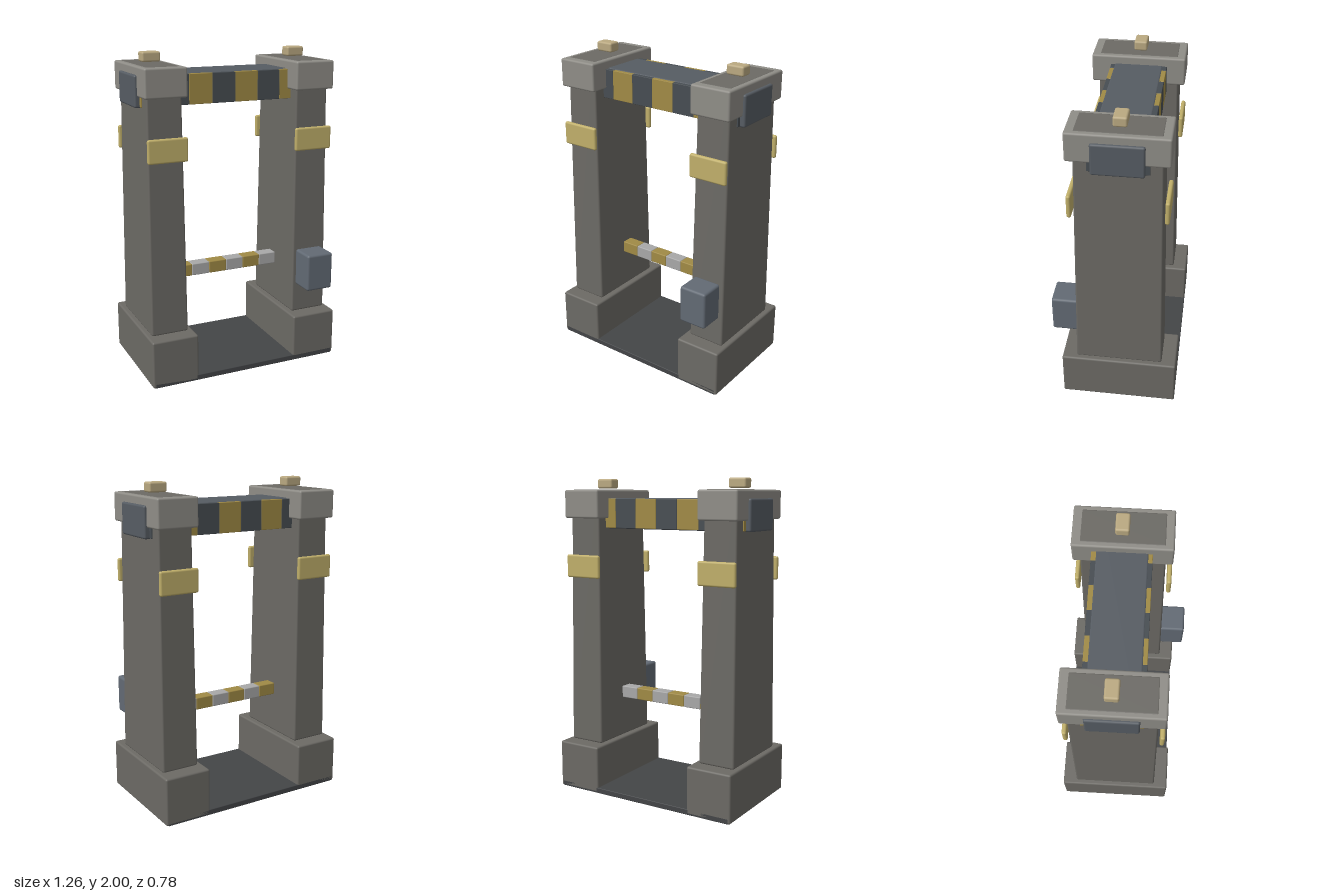
import * as THREE from 'three';
import { RoundedBoxGeometry } from 'three/addons/geometries/RoundedBoxGeometry.js';

const mat = (color) => new THREE.MeshStandardMaterial({ color });
const M = {
  stone: mat(0x6c6a65), cap: mat(0x8f8d87), floor: mat(0x434547), steel: mat(0x565c63),
  dark: mat(0x474d52), stripe: mat(0xa08a45), plate: mat(0xc0af6a), knob: mat(0xbaa981),
  box: mat(0x626a74), pale: mat(0xa8a8a8),
};

const CZ = -0.03; // depth centre of the frame

export function createModel() {
  const model = new THREE.Group();

  // Bevelled box given by its x, y and z ranges
  const block = (name, material, [x0, x1], [y0, y1], [z0, z1], r = 0.012) => {
    const mesh = new THREE.Mesh(new RoundedBoxGeometry(x1 - x0, y1 - y0, z1 - z0, 2, r), material);
    mesh.position.set((x0 + x1) / 2, (y0 + y1) / 2, (z0 + z1) / 2);
    mesh.name = name;
    model.add(mesh);
    return mesh;
  };

  // Floor slab joining the two footings
  block('floorSlab', M.floor, [-0.62, 0.62], [0, 0.035], [-0.39, 0.33], 0.004);

  for (const s of [-1, 1]) {
    const side = s > 0 ? 'left' : 'right';
    const span = (a, b) => (s > 0 ? [a, b] : [-b, -a]);

    block(side + 'Footing', M.stone, span(0.333, 0.632), [0, 0.303], [-0.39, 0.33]);

    // Column narrowing towards the top
    const column = block(side + 'Column', M.stone, span(0.366, 0.604), [0.303, 1.932], [CZ - 0.27, CZ + 0.27]);
    const p = column.geometry.attributes.position;
    const h = 1.629;
    for (let i = 0; i < p.count; i++) {
      const t = p.getY(i) / h + 0.5;
      p.setX(i, p.getX(i) * (1 - 0.11 * t));
      p.setZ(i, p.getZ(i) * (1 - 0.1 * t));
    }

    block(side + 'Cap', M.cap, span(0.355, 0.615), [1.755, 1.93], [-0.318, 0.258]);
    block(side + 'CapKnob', M.knob, span(0.425, 0.54), [1.94, 2], [-0.075, -0.005 + 0.01]);

    // Warning plates on the front and back of the column
    block(side + 'FrontPlate', M.plate, span(0.357, 0.607), [1.38, 1.525], [0.235, 0.262]);
    block(side + 'BackPlate', M.plate, span(0.357, 0.607), [1.38, 1.525], [-0.318, -0.291]);
  }

  // Overhead beam, its ends showing outside the columns
  block('beam', M.steel, [-0.631, 0.631], [1.69, 1.88], [-0.18, 0.118]);

  // Hazard stripes along both faces of the beam
  for (let i = 0; i < 8; i++) {
    const x = -0.6 + i * 0.15;
    const m = i % 2 ? M.dark : M.stripe;
    block('beamFrontStripe', m, [x, x + 0.15], [1.695, 1.876], [0.112, 0.14], 0.003);
    block('beamBackStripe', m, [x, x + 0.15], [1.695, 1.876], [-0.205, -0.174], 0.003);
  }

  // Striped barrier bar between the columns
  for (let i = 0; i < 6; i++) {
    const x = -0.36 + i * 0.12;
    block('barrierSegment', i % 2 ? M.pale : M.stripe, [x, x + 0.12], [0.567, 0.645], [-0.072, 0.006], 0.006);
  }

  // Control box on the front of the left column
  block('controlBox', M.box, [0.392, 0.572], [0.49, 0.728], [0.225, 0.39], 0.015);

  return model;
}
